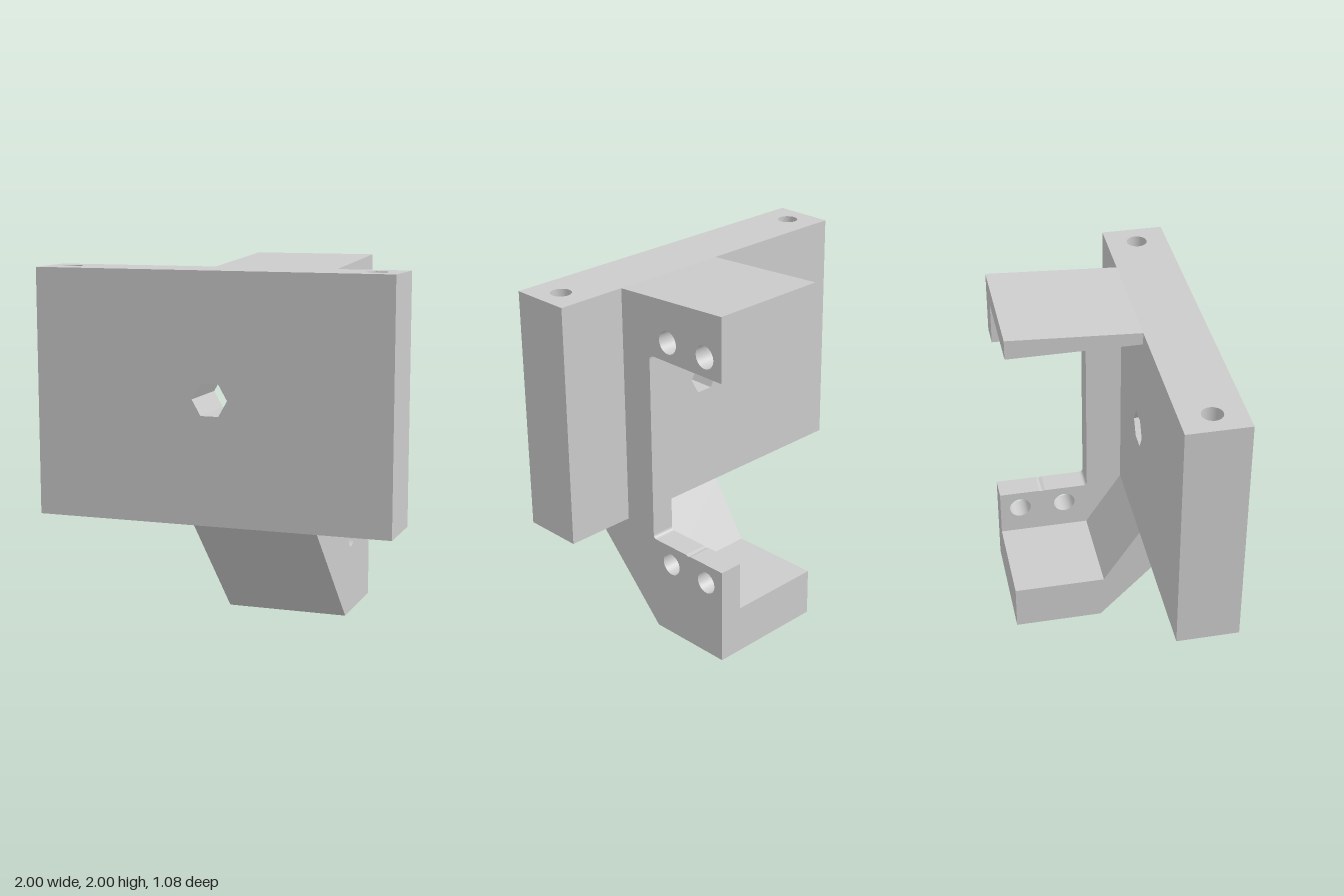
import * as THREE from 'three';

const solid = new THREE.MeshStandardMaterial({ color: 0xcccccc });
const open = new THREE.MeshStandardMaterial({ color: 0xcccccc, side: THREE.DoubleSide });
const openFlat = new THREE.MeshStandardMaterial({ color: 0xcccccc, side: THREE.DoubleSide, flatShading: true });

function add(group, name, geometry, material = solid) {
  const mesh = new THREE.Mesh(geometry, material);
  mesh.name = name;
  group.add(mesh);
  return mesh;
}

function circleHole(x, y, r) {
  const hole = new THREE.Path();
  hole.absarc(x, y, r, 0, Math.PI * 2, true);
  return hole;
}

function rectangle(w, h) {
  return new THREE.Shape([[-w, -h], [w, -h], [w, h], [-w, h]].map(([x, y]) => new THREE.Vector2(x / 2, y / 2)));
}

// Extrude a side profile, given in (-z, y), from x0 to x1
function sideExtrude(shape, x0, x1) {
  const g = new THREE.ExtrudeGeometry(shape, { depth: x1 - x0, bevelEnabled: false, curveSegments: 24 });
  return g.rotateY(Math.PI / 2).translate(x0, 0, 0);
}

function profile(points) {
  return new THREE.Shape(points.map(([z, y]) => new THREE.Vector2(-z, y)));
}

// Plate with a hexagonal through hole and two vertical bolt holes
function createPlate() {
  const plate = new THREE.Group();
  plate.name = 'mountingPlate';
  const W = 2, H = 1.365, D = 0.345, boltX = 0.86, boltR = 0.057, hexR = 0.1;

  const face = rectangle(W, H);
  const hex = [];
  for (let i = 0; i < 6; i++) hex.push(new THREE.Vector2(hexR * Math.cos(i * Math.PI / 3), hexR * Math.sin(i * Math.PI / 3)));
  face.holes.push(new THREE.Path(hex.reverse()));
  const edge = rectangle(W, D);
  for (const s of [-1, 1]) edge.holes.push(circleHole(s * boltX, 0, boltR));

  add(plate, 'plateFront', new THREE.ShapeGeometry(face).translate(0, 0, D / 2));
  add(plate, 'plateBack', new THREE.ShapeGeometry(face).rotateY(Math.PI).translate(0, 0, -D / 2));
  add(plate, 'plateTop', new THREE.ShapeGeometry(edge, 24).rotateX(-Math.PI / 2).translate(0, H / 2, 0));
  add(plate, 'plateBottom', new THREE.ShapeGeometry(edge, 24).rotateX(Math.PI / 2).translate(0, -H / 2, 0));
  for (const s of [-1, 1]) {
    add(plate, 'plateEnd', new THREE.PlaneGeometry(D, H).rotateY(s * Math.PI / 2).translate(s * W / 2, 0, 0));
    add(plate, 'boltHole', new THREE.CylinderGeometry(boltR, boltR, H, 48, 1, true).translate(s * boltX, 0, 0), open);
  }
  const hexLining = new THREE.CylinderGeometry(hexR, hexR, D, 6, 1, true).rotateY(Math.PI / 2).rotateX(Math.PI / 2);
  // Vertices of the lining point left and right, like the hole
  add(plate, 'hexHole', hexLining, openFlat);

  plate.position.set(0, 0.595 + H / 2, 0.195 + D / 2);
  return plate;
}

// C-shaped bracket behind the plate
function createBracket() {
  const bracket = new THREE.Group();
  bracket.name = 'bracket';
  const x0 = -0.09, xWall = 0.46, x1 = 0.598, back = -0.54, r = 0.025;

  // Side wall with filleted inner corners and four bolt holes
  const wall = new THREE.Shape();
  wall.moveTo(0.01 - r, 0.55);
  wall.quadraticCurveTo(0.01, 0.55, 0.01, 0.55 + r);
  wall.lineTo(0.01, 1.645 - r);
  wall.quadraticCurveTo(0.01, 1.645, 0.01 + r, 1.645);
  const rest = [[back, 1.645], [back, 2.003], [0.195, 1.96], [0.195, 0.595], [0.54, 0.595], [-0.035, 0],
    [back, 0], [back, 0.55], [-0.3, 0.55], [-0.285, 0.545], [-0.265, 0.55], [-0.01 - r, 0.55]];
  for (const [z, y] of rest) wall.lineTo(-z, y);
  wall.quadraticCurveTo(0.01, 0.55, 0.01, 0.55 + r);
  // Start from the lower fillet's end so the outline closes on itself
  wall.curves.splice(0, 1);
  for (const z of [-0.15, -0.42]) for (const y of [0.44, 1.753]) wall.holes.push(circleHole(-z, y, 0.063));
  add(bracket, 'sideWall', sideExtrude(wall, xWall, x1));

  // Thin top flange with a sloping upper face
  add(bracket, 'topFlange', sideExtrude(
    profile([[0.195, 1.89], [0.195, 1.96], [back, 2.003], [back, 1.89]]), x0, xWall));

  // Bottom shelf and the slanted web that joins it to the plate
  add(bracket, 'bottomShelf', sideExtrude(
    profile([[back, 0], [-0.035, 0], [0.54, 0.595], [0.195, 0.595], [-0.015, 0.27], [back, 0.27]]), x0, xWall));
  return bracket;
}

export function createModel() {
  const model = new THREE.Group();
  model.name = 'mountingBracket';
  model.add(createPlate(), createBracket());
  return model;
}
